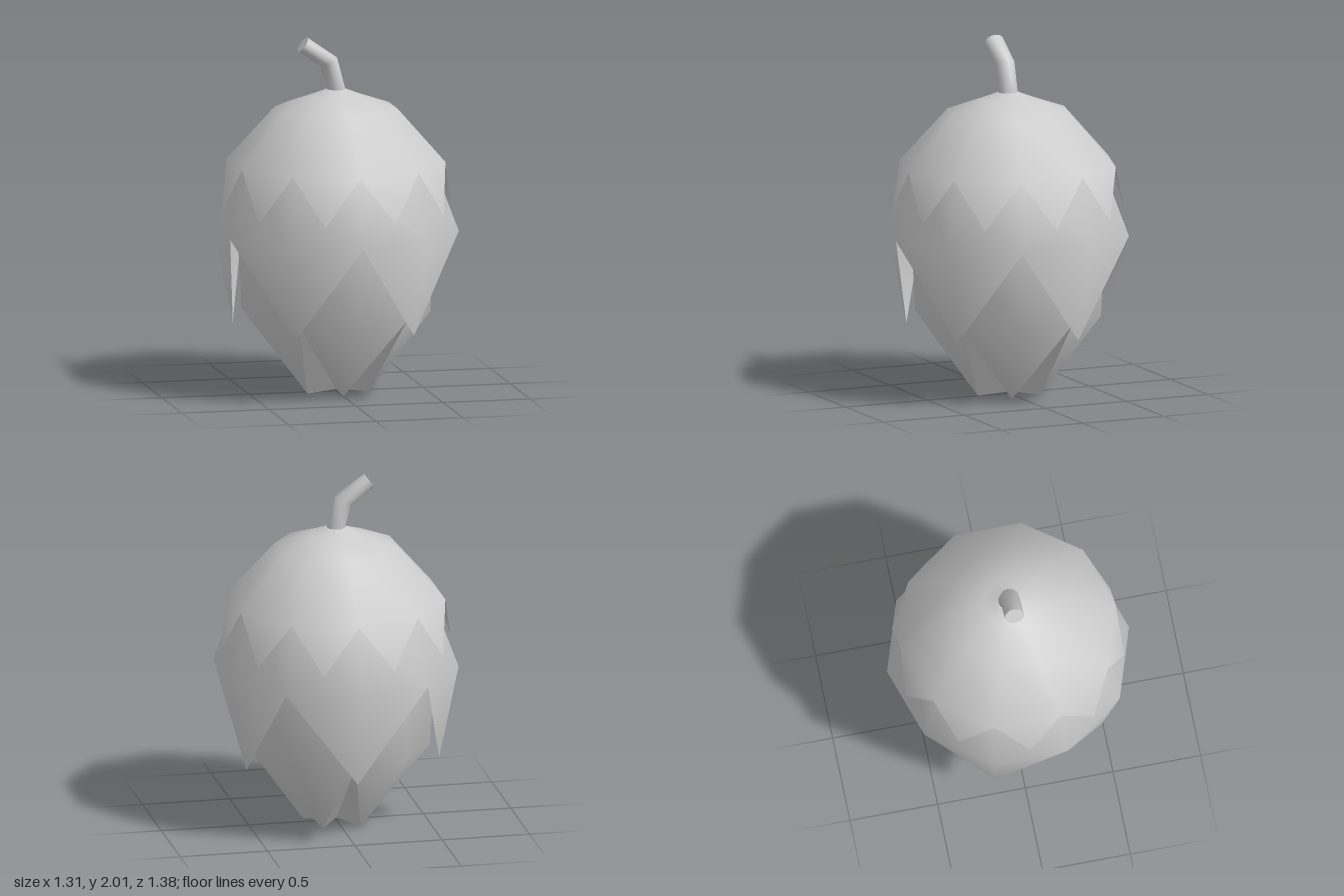
import * as THREE from 'three';

const SIDES = 10, STEP = Math.PI * 2 / SIDES;
const material = new THREE.MeshStandardMaterial({ color: 0xcccccc, side: THREE.DoubleSide });

// Point at a given number of steps around the axis, starting at the front
const polar = (steps, r, y) => [Math.sin(steps * STEP) * r, y, Math.cos(steps * STEP) * r];

function makeMesh(name, points, faces) {
  const geometry = new THREE.BufferGeometry();
  geometry.setAttribute('position', new THREE.Float32BufferAttribute(points.flat(), 3));
  geometry.setIndex(faces.flat());
  geometry.computeVertexNormals();
  const mesh = new THREE.Mesh(geometry, material);
  mesh.name = name;
  return mesh;
}

// Join successive rings of n points, from top to bottom
function bridge(faces, rings, n) {
  for (let k = 0; k < rings - 1; k++) {
    for (let i = 0; i < n; i++) {
      const j = (i + 1) % n, a = k * n, b = a + n;
      faces.push([a + i, b + i, b + j], [a + i, b + j, a + j]);
    }
  }
}

// Ten-sided shell of [radius, y] rings, ending in pointed teeth.
// Each tooth spans `span` sides and the first starts at side `start`.
function leafLayer(name, profile, span, start, tipR, tipY) {
  const points = [], faces = [];
  for (const [r, y] of profile) for (let i = 0; i < SIDES; i++) points.push(polar(i, r, y));
  bridge(faces, profile.length, SIDES);
  const last = (profile.length - 1) * SIDES;
  for (let s = start; s < start + SIDES; s += span) {
    const tip = points.push(polar(s + span / 2, tipR, tipY)) - 1;
    for (let i = s; i < s + span; i++) {
      faces.push([last + i % SIDES, tip, last + (i + 1) % SIDES]);
    }
  }
  return makeMesh(name, points, faces);
}

// Folds between the lowest teeth, running in to the centre of the base
function baseFolds() {
  const points = [], faces = [];
  for (let s = 1; s < SIDES; s += 2) {
    const valley = polar(s, 0.53, 0.46), centre = [0, 0.01, 0];
    const left = polar(s - 1, 0.185, 0), right = polar(s + 1, 0.185, 0);
    const n = points.length;
    points.push(valley, left, centre, valley, centre, right);
    faces.push([n, n + 1, n + 2], [n + 3, n + 4, n + 5]);
  }
  return makeMesh('baseFolds', points, faces);
}

// Bent stem: rings of [x, y, tilt, radius along x, radius along z]
function stem() {
  const n = 12, points = [], faces = [];
  const sections = [
    [-0.19, 1.975, 0.96, 0.047, 0.055],
    [-0.042, 1.872, 0.45, 0.053, 0.055],
    [0, 1.72, 0, 0.052, 0.055],
    [0, 1.62, 0, 0.055, 0.058],
  ];
  for (const [x, y, tilt, rx, rz] of sections) {
    for (let i = 0; i < n; i++) {
      const a = i / n * Math.PI * 2, u = Math.sin(a) * rx;
      points.push([x + u * Math.cos(tilt), y + u * Math.sin(tilt), Math.cos(a) * rz]);
    }
  }
  bridge(faces, sections.length, n);
  // Flat cut end with its own corners, so the rim stays sharp
  const rim = points.length;
  points.push(...points.slice(0, n), [-0.19, 1.975, 0]);
  for (let i = 0; i < n; i++) faces.push([rim + n, rim + i, rim + (i + 1) % n]);
  return makeMesh('stem', points, faces);
}

export function createModel() {
  const group = new THREE.Group();
  group.name = 'layeredBud';
  group.add(
    stem(),
    leafLayer('topLeaves', [[0.045, 1.72], [0.145, 1.68], [0.345, 1.61], [0.615, 1.31]], 1, 0, 0.655, 1.04),
    leafLayer('middleLeaves', [[0.54, 1.31], [0.69, 0.92]], 2, 0, 0.58, 0.38),
    leafLayer('lowerLeaves', [[0.555, 0.92], [0.53, 0.46]], 2, 1, 0.185, 0),
    baseFolds(),
  );
  return group;
}
